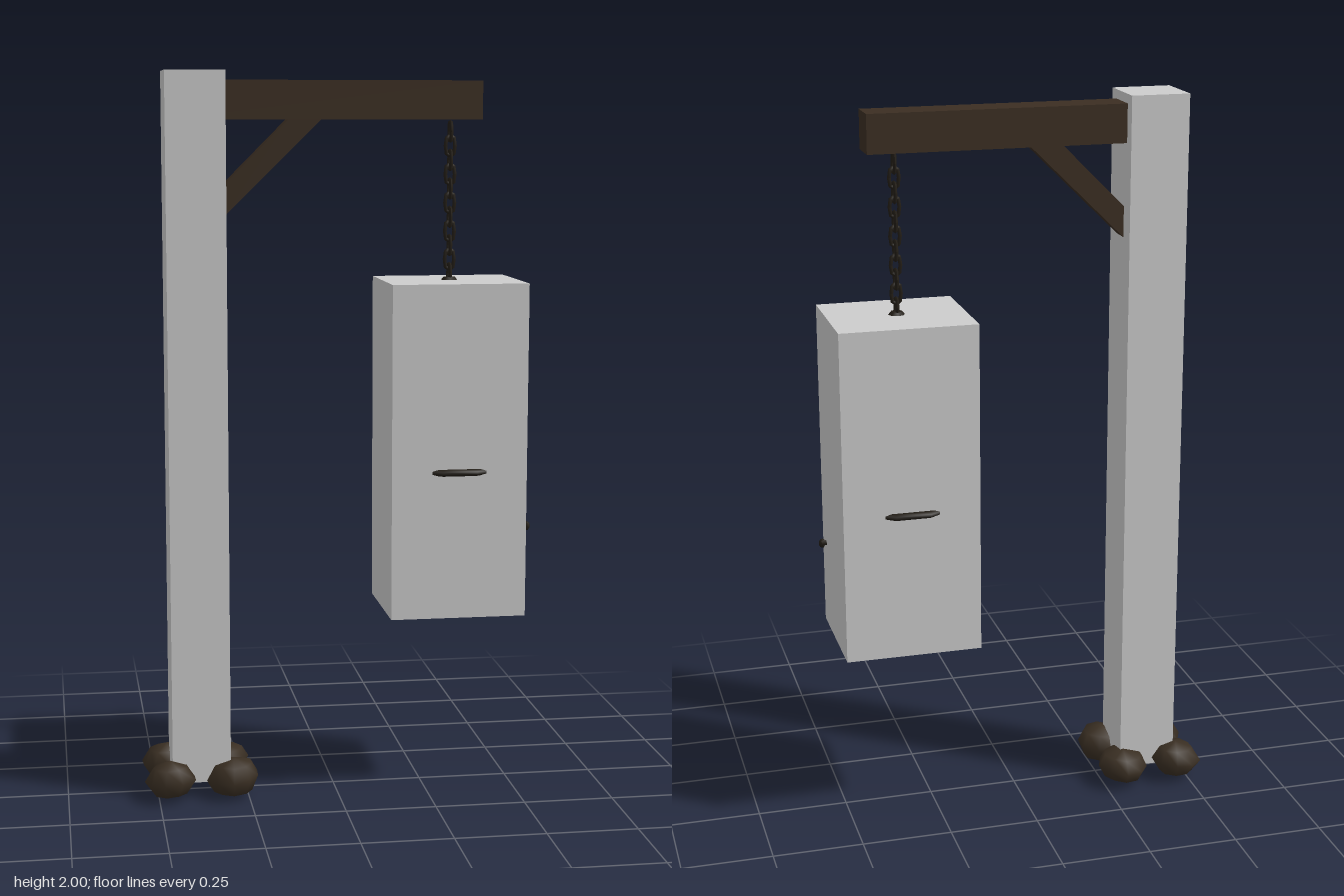
import * as THREE from 'three';
import { mergeVertices } from 'three/addons/utils/BufferGeometryUtils.js';

const mat = (name, color) => {
  const m = new THREE.MeshStandardMaterial({ color });
  m.name = name;
  return m;
};

export function createModel() {
  const grey = mat('pale grey', 0xcccccc);
  const wood = mat('dark wood', 0x3b2e22);
  const iron = mat('dark iron', 0x221d16);
  const rock = mat('brown stone', 0x3a2f23);

  const root = new THREE.Group();
  root.name = 'hangingLampPost';

  const add = (name, geo, material, x = 0, y = 0, z = 0, parent = root) => {
    const mesh = new THREE.Mesh(geo, material);
    mesh.name = name;
    mesh.position.set(x, y, z);
    parent.add(mesh);
    return mesh;
  };
  // Box given by its lower and upper corners
  const box = (name, a, b, material) => add(name,
    new THREE.BoxGeometry(b[0] - a[0], b[1] - a[1], b[2] - a[2]), material,
    (a[0] + b[0]) / 2, (a[1] + b[1]) / 2, (a[2] + b[2]) / 2);

  // Post, arm and hanging lamp case
  box('post', [-0.462, 0.045, -0.083], [-0.3, 2, 0.083], grey);
  box('arm', [-0.45, 1.87, -0.048], [0.405, 1.975, 0.048], wood);
  box('lampCase', [0.138, 0.51, -0.163], [0.514, 1.432, 0.163], grey);

  // Diagonal brace under the arm
  const braceShape = new THREE.Shape([[-0.302, 1.61], [-0.035, 1.872], [-0.125, 1.872], [-0.302, 1.695]]
    .map(p => new THREE.Vector2(...p)));
  add('brace', new THREE.ExtrudeGeometry(braceShape, { depth: 0.06, bevelEnabled: false }), wood, 0, 0, -0.03);

  // Chain of oval links, each turned a quarter from the last
  const chain = new THREE.Group();
  chain.name = 'chain';
  root.add(chain);
  const linkGeo = new THREE.TorusGeometry(0.013, 0.0055, 5, 10);
  const p = linkGeo.attributes.position;
  for (let i = 0; i < p.count; i++) {
    p.setY(i, p.getY(i) + Math.sign(Math.round(p.getY(i) * 1e5)) * 0.013);
  }
  linkGeo.computeVertexNormals();
  for (let i = 0; i < 11; i++) {
    add('chainLink', linkGeo, iron, 0.325, 1.838 - i * 0.0388, 0, chain)
      .rotation.y = i % 2 ? 0 : Math.PI / 2;
  }

  // Cap on top, finial below, band around the lamp
  add('lampCap', new THREE.CylinderGeometry(0.016, 0.028, 0.014, 8), iron, 0.325, 1.433, 0);
  add('lampFinial', new THREE.CylinderGeometry(0.012, 0.006, 0.014, 8), iron, 0.325, 0.511, 0);
  const bandProfile = [[0, -0.009], [0.176, -0.009], [0.185, -0.004], [0.185, 0.004], [0.176, 0.009], [0, 0.009]]
    .map(q => new THREE.Vector2(...q));
  add('lampBand', new THREE.LatheGeometry(bandProfile, 12), iron, 0.325, 0.917, 0).rotation.y = Math.PI / 12;

  // Small latch on the lamp's side
  const latch = new THREE.Group();
  latch.name = 'latch';
  root.add(latch);
  add('latchPin', new THREE.CylinderGeometry(0.007, 0.007, 0.026, 6), iron, 0.515, 0.758, 0.113, latch)
    .rotation.z = Math.PI / 2;
  add('latchKnob', new THREE.SphereGeometry(0.011, 6, 5), iron, 0.525, 0.755, 0.12, latch)
    .scale.set(0.9, 1.2, 1.2);

  // Faceted stones around the foot: x, y, z, half sizes, turn
  const stones = [
    [-0.468, 0.058, -0.088, 0.07, 0.053, 0.07, 0.3],
    [-0.308, 0.056, -0.084, 0.073, 0.048, 0.078, 1.1],
    [-0.468, 0.058, 0.084, 0.07, 0.053, 0.07, 2.0],
    [-0.292, 0.055, 0.073, 0.073, 0.055, 0.077, 2.9],
  ];
  for (const [x, y, z, sx, sy, sz, turn] of stones) {
    let geo = new THREE.SphereGeometry(1, 9, 4);
    geo.deleteAttribute('uv');
    geo.deleteAttribute('normal');
    geo = mergeVertices(geo, 1e-4);
    geo.rotateY(turn);
    const v = geo.attributes.position;
    for (let i = 0; i < v.count; i++) {
      const a = v.getX(i), b = v.getY(i), c = v.getZ(i);
      const k = 1.01 + 0.06 * Math.sin(5 * a + 3 * c + turn * 4);
      v.setXYZ(i, a * k * sx, (b + 0.12 * a * (1 - b * b)) * sy, c * k * sz);
    }
    geo.computeVertexNormals();
    add('footStone', geo, rock, x, y, z);
  }

  return root;
}
